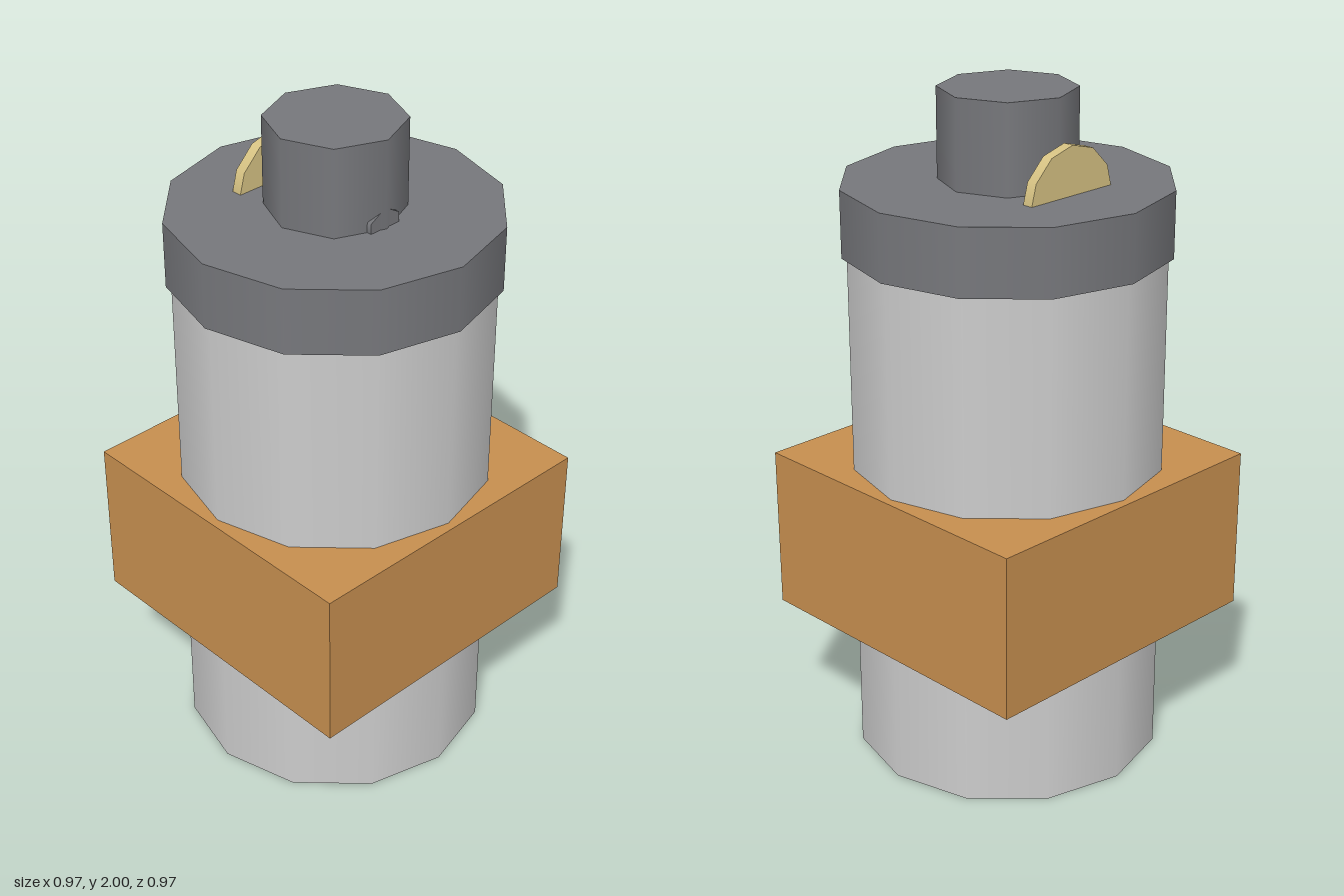
import * as THREE from 'three';

const material = (color) => new THREE.MeshStandardMaterial({ color });

export function createModel() {
  const model = new THREE.Group();
  const silver = material(0xcccccc);
  const darkGrey = material(0x76777b);
  const orange = material(0xc68e4f);
  const brass = material(0xd6c283);

  const add = (name, geometry, mat, x, y, z) => {
    const mesh = new THREE.Mesh(geometry, mat);
    mesh.name = name;
    mesh.position.set(x, y, z);
    model.add(mesh);
    return mesh;
  };

  // Upright prism with a corner on each axis
  const upright = (name, radius, bottom, top, sides, mat) =>
    add(name, new THREE.CylinderGeometry(radius, radius, top - bottom, sides), mat, 0, (bottom + top) / 2, 0);

  // Disc standing on edge, its axis along x and a corner at the top
  const standingDisc = (name, radius, thickness, sides, mat, x, y) => {
    const geometry = new THREE.CylinderGeometry(radius, radius, thickness, sides);
    geometry.rotateY(Math.PI / 2).rotateZ(Math.PI / 2);
    return add(name, geometry, mat, x, y, 0);
  };

  // Canister, lid and knob
  upright('body', 0.46, 0, 1.55, 12, silver);
  upright('lid', 0.475, 1.545, 1.74, 12, darkGrey);
  upright('knob', 0.197, 1.74, 2, 8, darkGrey);

  // Square band around the canister
  add('band', new THREE.BoxGeometry(0.97, 0.49, 0.97), orange, 0, 0.66, 0);

  // Brass tab and small stud, both half sunk into the lid
  standingDisc('tab', 0.16, 0.032, 12, brass, -0.23, 1.72);
  standingDisc('stud', 0.06, 0.05, 6, darkGrey, 0.165, 1.74);

  return model;
}
